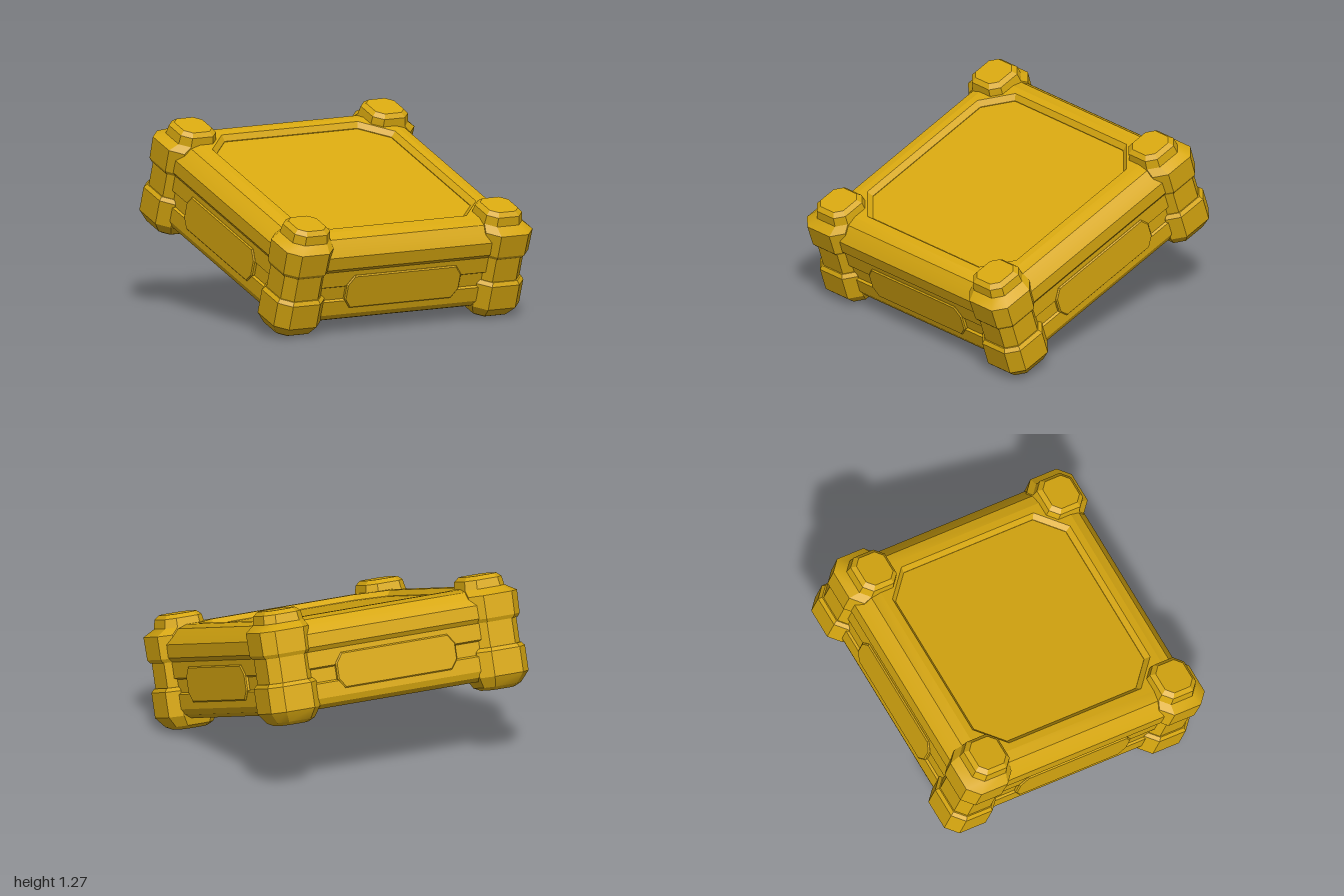
import * as THREE from 'three';
import { toCreasedNormals } from 'three/addons/utils/BufferGeometryUtils.js';

const gold = new THREE.MeshStandardMaterial({ color: 0xd8a810 });
gold.name = 'gold';

function part(geometry, name, crease = 0.45) {
  const mesh = new THREE.Mesh(toCreasedNormals(geometry, crease), gold);
  mesh.name = name;
  return mesh;
}

// Stacks chamfered squares; each ring is [height, half width, centre on x and z]
function corner(rings, chamfer = 0.42) {
  const pos = [], index = [], n = 8;
  for (const [y, h, c] of rings) {
    const k = h * (1 - chamfer);
    const loop = [[h, -k], [k, -h], [-k, -h], [-h, -k], [-h, k], [-k, h], [k, h], [h, k]];
    for (const [x, z] of loop) pos.push(c + x, y, c + z);
  }
  const top = (rings.length - 1) * n;
  for (let r = 0; r < top; r += n) {
    for (let i = 0; i < n; i++) {
      const j = (i + 1) % n;
      index.push(r + i, r + j, r + n + j, r + i, r + n + j, r + n + i);
    }
  }
  for (let i = 1; i < n - 1; i++) index.push(0, i + 1, i, top, top + i, top + i + 1);
  const g = new THREE.BufferGeometry();
  g.setAttribute('position', new THREE.Float32BufferAttribute(pos, 3));
  g.setIndex(index);
  return g;
}

// Chamfered rectangle outline
function octagon(w, h, cx, cy, target) {
  target.moveTo(w, h - cy);
  [[w - cx, h], [cx - w, h], [-w, h - cy], [-w, cy - h], [cx - w, -h], [w - cx, -h], [w, cy - h]]
    .forEach(([x, y]) => target.lineTo(x, y));
  target.closePath();
  return target;
}

export function createModel() {
  const model = new THREE.Group();
  const crate = new THREE.Group();
  crate.name = 'tiltedCrate';
  crate.rotation.x = THREE.MathUtils.degToRad(18.2);
  crate.position.y = 0.64;
  model.add(crate);

  // Square body with a shallow side groove and an overhanging upper beam
  const profile = [
    [0, -0.32], [0.83, -0.32], [0.88, -0.29], [0.9, -0.25], [0.9, -0.15], [0.885, -0.14],
    [0.885, -0.05], [0.9, -0.04], [0.9, 0.07], [0.925, 0.1], [0.925, 0.19],
    [0.89, 0.235], [0.84, 0.285], [0.77, 0.305],
  ].map(([h, y]) => new THREE.Vector2(h * Math.SQRT2, y));
  const body = new THREE.LatheGeometry(profile, 4);
  body.rotateY(Math.PI / 4);
  crate.add(part(body, 'body'));

  // Top rim around the recessed panel
  const rimShape = octagon(0.77, 0.77, 0.001, 0.001, new THREE.Shape());
  rimShape.holes.push(octagon(0.72, 0.72, 0.185, 0.185, new THREE.Path()));
  const rim = new THREE.ExtrudeGeometry(rimShape, {
    depth: 0.01, bevelSize: 0.03, bevelThickness: 0.035, bevelSegments: 1,
  });
  rim.rotateX(-Math.PI / 2);
  rim.translate(0, 0.26, 0);
  crate.add(part(rim, 'topRim'));

  const panel = new THREE.PlaneGeometry(1.46, 1.46);
  panel.rotateX(-Math.PI / 2);
  panel.translate(0, 0.265, 0);
  crate.add(part(panel, 'topPanel'));

  // Corner guards
  const upperCap = corner([
    [0.07, 0.165, 0.783], [0.095, 0.18, 0.783], [0.25, 0.183, 0.783],
    [0.295, 0.148, 0.755], [0.355, 0.138, 0.755], [0.382, 0.11, 0.755],
  ]);
  const post = corner([[-0.13, 0.16, 0.78], [0.1, 0.16, 0.78]]);
  const lowerCap = corner([
    [-0.388, 0.1, 0.775], [-0.365, 0.14, 0.775], [-0.295, 0.183, 0.783],
    [-0.125, 0.183, 0.783], [-0.1, 0.165, 0.783],
  ]);

  // Raised plate on each side
  const plate = new THREE.ExtrudeGeometry(octagon(0.44, 0.112, 0.045, 0.06, new THREE.Shape()), {
    depth: 0.02, bevelSize: 0.008, bevelThickness: 0.008, bevelSegments: 1,
  });
  plate.translate(0, -0.085, 0.882);

  for (let i = 0; i < 4; i++) {
    const side = new THREE.Group();
    side.name = 'side' + (i + 1);
    side.rotation.y = i * Math.PI / 2;
    side.add(
      part(upperCap, 'upperCornerCap'),
      part(post, 'cornerPost'),
      part(lowerCap, 'lowerCornerCap'),
      part(plate, 'sidePlate'),
    );
    crate.add(side);
  }
  return model;
}
